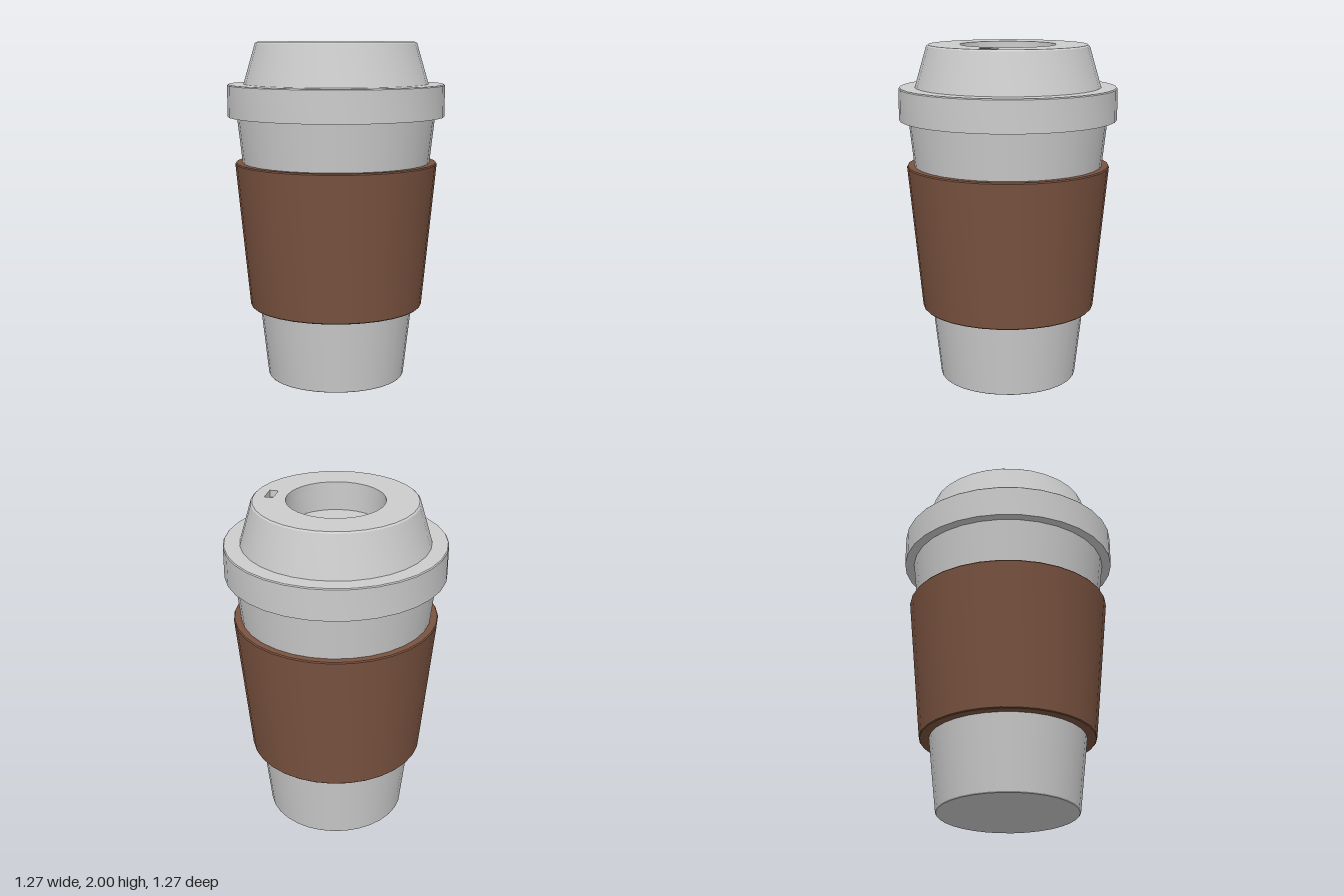
import * as THREE from 'three';
import { toCreasedNormals } from 'three/addons/utils/BufferGeometryUtils.js';

const SEGMENTS = 32;
const HALF_STEP = Math.PI / SEGMENTS;
const CREASE = 0.4;

// Revolved solid from [radius, height] points, outside surface running upward
function turned(name, profile, material) {
  const points = profile.map(([r, y]) => new THREE.Vector2(r, y));
  const geometry = new THREE.LatheGeometry(points, SEGMENTS, HALF_STEP);
  const mesh = new THREE.Mesh(toCreasedNormals(geometry, CREASE), material);
  mesh.name = name;
  return mesh;
}

// Regular polygon matching the facets of the turned parts
function ring(radius) {
  return Array.from({ length: SEGMENTS }, (_, i) => {
    const a = HALF_STEP + (i * 2 * Math.PI) / SEGMENTS;
    return new THREE.Vector2(radius * Math.cos(a), radius * Math.sin(a));
  });
}

export function createModel() {
  const cupGrey = new THREE.MeshStandardMaterial({ color: 0xcccccc });
  cupGrey.name = 'cupGrey';
  const sleeveBrown = new THREE.MeshStandardMaterial({ color: 0x7a5340 });
  sleeveBrown.name = 'sleeveBrown';

  const model = new THREE.Group();
  model.name = 'travelCup';

  // Tapered cup body with a flat base
  model.add(turned('cupBody', [[0, 0], [0.405, 0], [0.41, 0.006], [0.587, 1.6]], cupGrey));

  // Heat sleeve, a closed tapered band around the cup
  model.add(turned('sleeve', [
    [0.455, 0.435], [0.51, 0.435], [0.515, 0.44],
    [0.597, 1.29], [0.592, 1.297], [0.55, 1.297],
  ], sleeveBrown));

  // Lid: wide rim band, then a sloped shoulder
  const lid = new THREE.Group();
  lid.name = 'lid';
  lid.add(turned('lidRim', [
    [0.57, 1.568], [0.638, 1.568], [0.638, 1.75], [0.633, 1.756], [0.53, 1.756],
  ], cupGrey));
  lid.add(turned('lidShoulder', [[0.545, 1.75], [0.474, 1.992], [0.465, 2]], cupGrey));

  // Top plate pierced by the round recess and the sip slot
  const plate = new THREE.Shape(ring(0.465));
  plate.holes.push(new THREE.Path(ring(0.28).reverse()));
  const slotAngle = -0.477;
  const slot = [[-0.025, -0.054], [-0.025, 0.054], [0.025, 0.054], [0.025, -0.054]].map(([u, v]) =>
    new THREE.Vector2(0.372 + u, v).rotateAround(new THREE.Vector2(), slotAngle));
  plate.holes.push(new THREE.Path(slot));
  const plateGeometry = new THREE.ExtrudeGeometry(plate, { depth: 0.04, bevelEnabled: false });
  plateGeometry.rotateX(-Math.PI / 2).translate(0, 1.96, 0);
  const top = new THREE.Mesh(toCreasedNormals(plateGeometry, CREASE), cupGrey);
  top.name = 'lidTop';
  lid.add(top);

  // Recess wall and floor, plus the floor below the sip slot
  lid.add(turned('lidRecess', [[0.28, 1.962], [0.28, 1.83], [0, 1.83]], cupGrey));
  const slotFloor = new THREE.Mesh(new THREE.BoxGeometry(0.06, 0.008, 0.12), cupGrey);
  slotFloor.name = 'sipSlotFloor';
  slotFloor.rotation.y = slotAngle;
  slotFloor.position.set(0.372 * Math.cos(slotAngle), 1.957, -0.372 * Math.sin(slotAngle));
  lid.add(slotFloor);

  model.add(lid);
  return model;
}
